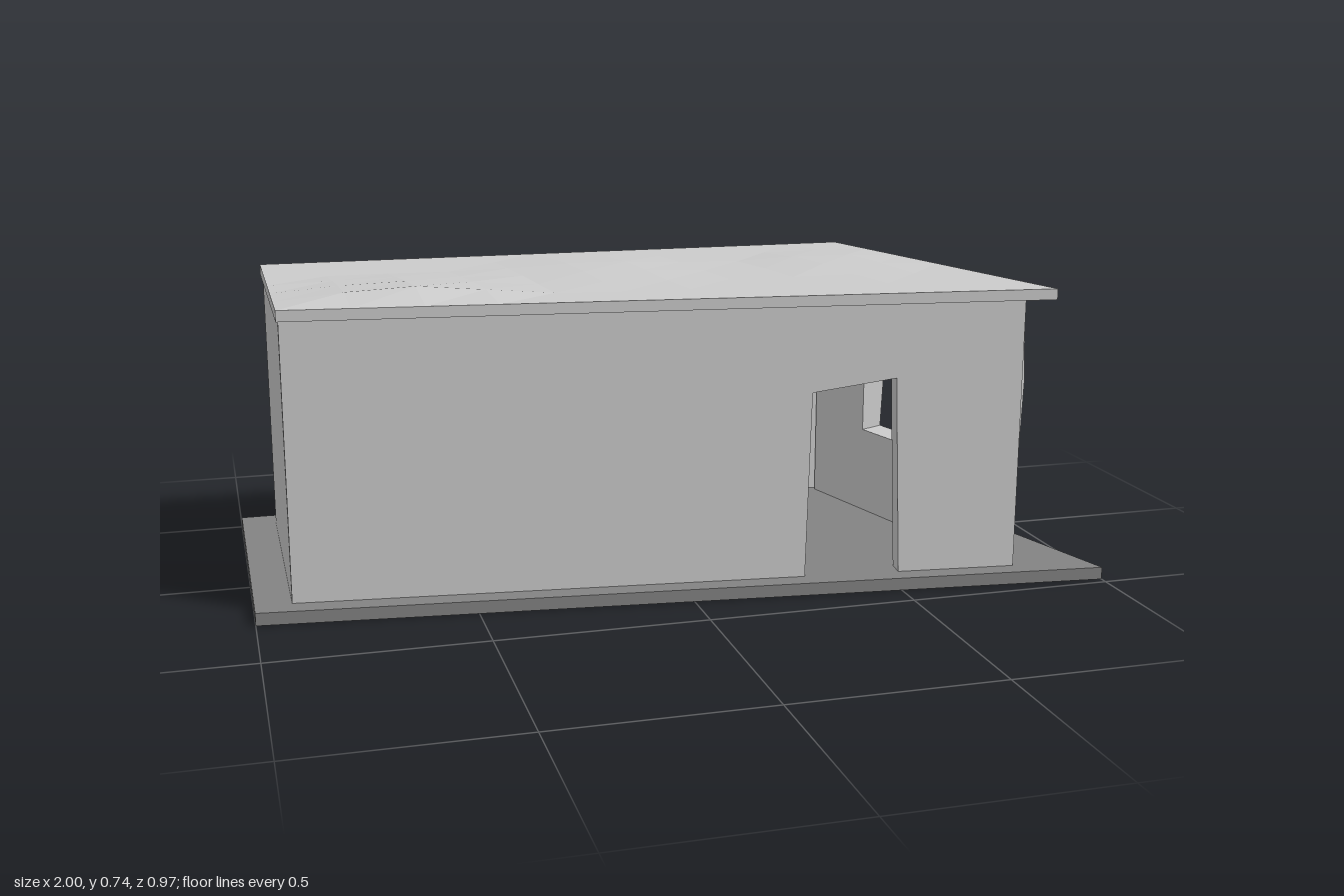
import * as THREE from 'three';

const material = (color) => new THREE.MeshStandardMaterial({ color, flatShading: true });
const wallMat = material(0xcccccc);
const baseMat = material(0x838383);
const FLOOR = 0.03, TOP = 0.69;

function part(name, geometry, mat) {
  const mesh = new THREE.Mesh(geometry, mat);
  mesh.name = name;
  return mesh;
}

// Move every vertex by a rule
function deform(geometry, rule) {
  const p = geometry.attributes.position, v = new THREE.Vector3();
  for (let i = 0; i < p.count; i++) {
    rule(v.fromBufferAttribute(p, i));
    p.setXYZ(i, v.x, v.y, v.z);
  }
  geometry.computeVertexNormals();
  return geometry;
}

// Flat slab over a four-cornered plan: back left, back right, front right, front left
function slab(name, plan, y0, y1, mat, nx = 1, nz = 1, bump = () => 0) {
  const [a, b, c, d] = plan.map(([x, z]) => new THREE.Vector2(x, z));
  const geometry = deform(new THREE.BoxGeometry(1, 1, 1, nx, 1, nz), (v) => {
    const s = v.x + 0.5, t = v.z + 0.5, isTop = v.y > 0;
    const q = a.clone().lerp(b, s).lerp(d.clone().lerp(c, s), t);
    const inside = Math.min(s, 1 - s, t, 1 - t) > 0.01;
    v.set(q.x, isTop ? y1 + (inside ? bump(q) : 0) : y0, q.y);
  });
  return part(name, geometry, mat);
}

// Stand a wall geometry (x along, z outward) on the line from a to b
function stand(mesh, a, b) {
  mesh.position.set(a[0], 0, a[1]);
  mesh.rotation.y = Math.atan2(a[1] - b[1], b[0] - a[0]);
  return mesh;
}

// Wall cut from an outline, its outer face lying on z = 0
function panel(outline, thickness, hole) {
  const shape = new THREE.Shape(outline.map((p) => new THREE.Vector2(...p)));
  if (hole) shape.holes.push(new THREE.Path(hole.map((p) => new THREE.Vector2(...p))));
  return new THREE.ExtrudeGeometry(shape, { depth: thickness, bevelEnabled: false }).translate(0, 0, -thickness);
}

const length = (a, b) => Math.hypot(b[0] - a[0], b[1] - a[1]);

export function createModel() {
  const group = new THREE.Group();
  group.name = 'hut';

  // Ground slab
  group.add(slab('base', [[-1, -0.485], [0.74, -0.485], [1, 0.48], [-1, 0.27]], 0, FLOOR, baseMat));

  // Roof slab with shallow uneven rises
  const rises = [[-0.62, 0.14, 0.028, 0.36], [-0.1, -0.15, 0.015, 0.3], [0.5, -0.1, 0.014, 0.25]];
  const rise = (q) => Math.max(0, ...rises.map(([x, z, h, r]) => h * (1 - Math.hypot(q.x - x, q.y - z) / r)));
  group.add(slab('roof', [[-0.92, -0.445], [0.645, -0.445], [0.87, 0.425], [-0.92, 0.235]],
    0.685, 0.711, wallMat, 11, 6, rise));

  // Front wall with a crooked doorway
  const f0 = [-0.915, 0.225], f1 = [0.797, 0.41], fl = length(f0, f1);
  const along = (x) => (x - f0[0]) / (f1[0] - f0[0]) * fl;
  group.add(stand(part('frontWall', panel([
    [0, FLOOR], [along(0.28), FLOOR], [along(0.29), 0.48], [along(0.49), 0.508],
    [along(0.51), FLOOR], [fl, FLOOR], [fl, TOP], [0, TOP],
  ], 0.045), wallMat), f0, f1));

  // Right wall with a window, swelling outward at mid height
  const r0 = [0.81, 0.368], r1 = [0.622, -0.36], rl = length(r0, r1);
  const run = (z) => (r0[1] - z) / (r0[1] - r1[1]) * rl;
  const rightGeometry = deform(panel(
    [[0, FLOOR], [run(-0.05), FLOOR], [rl, FLOOR], [rl, 0.48], [rl, TOP], [run(0.03), TOP], [0, TOP], [0, 0.48]],
    0.06,
    [[run(0.14), 0.25], [run(0.14), 0.452], [run(-0.03), 0.465], [run(-0.165), 0.452], [run(-0.165), 0.25]],
  ), (v) => {
    if (v.z > -0.01) v.z += 0.02 * Math.max(0, 1 - Math.abs(v.y - 0.44) / 0.35);
    else if (v.y > 0.452 && v.y < 0.47) v.y = 0.452;
    else if (v.y < 0.46 && v.x > rl / 2 && v.x < rl - 0.05) v.x -= 0.015;
  });
  group.add(stand(part('rightWall', rightGeometry, wallMat), r0, r1));

  // Back wall with a lumpy outer face
  const b0 = [0.605, -0.42], b1 = [-0.915, -0.42], bl = length(b0, b1);
  const backGeometry = deform(
    new THREE.BoxGeometry(bl, TOP - FLOOR, 0.06, 7, 4, 1).translate(bl / 2, (TOP + FLOOR) / 2, -0.03),
    (v) => {
      const s = v.x / bl, t = (v.y - FLOOR) / (TOP - FLOOR);
      const wave = 0.6 + 0.4 * Math.sin(s * 17 + t * 9);
      if (v.z > -0.01) v.z += 0.024 * wave * Math.sin(Math.PI * s) * Math.sin(Math.PI * t);
    });
  group.add(stand(part('backWall', backGeometry, wallMat), b0, b1));

  // Left wall
  const l0 = [-0.915, -0.36], l1 = [-0.915, 0.21], ll = length(l0, l1);
  group.add(stand(part('leftWall', panel(
    [[0, FLOOR], [ll, FLOOR], [ll, TOP], [0, TOP]], 0.05), wallMat), l0, l1));

  return group;
}
